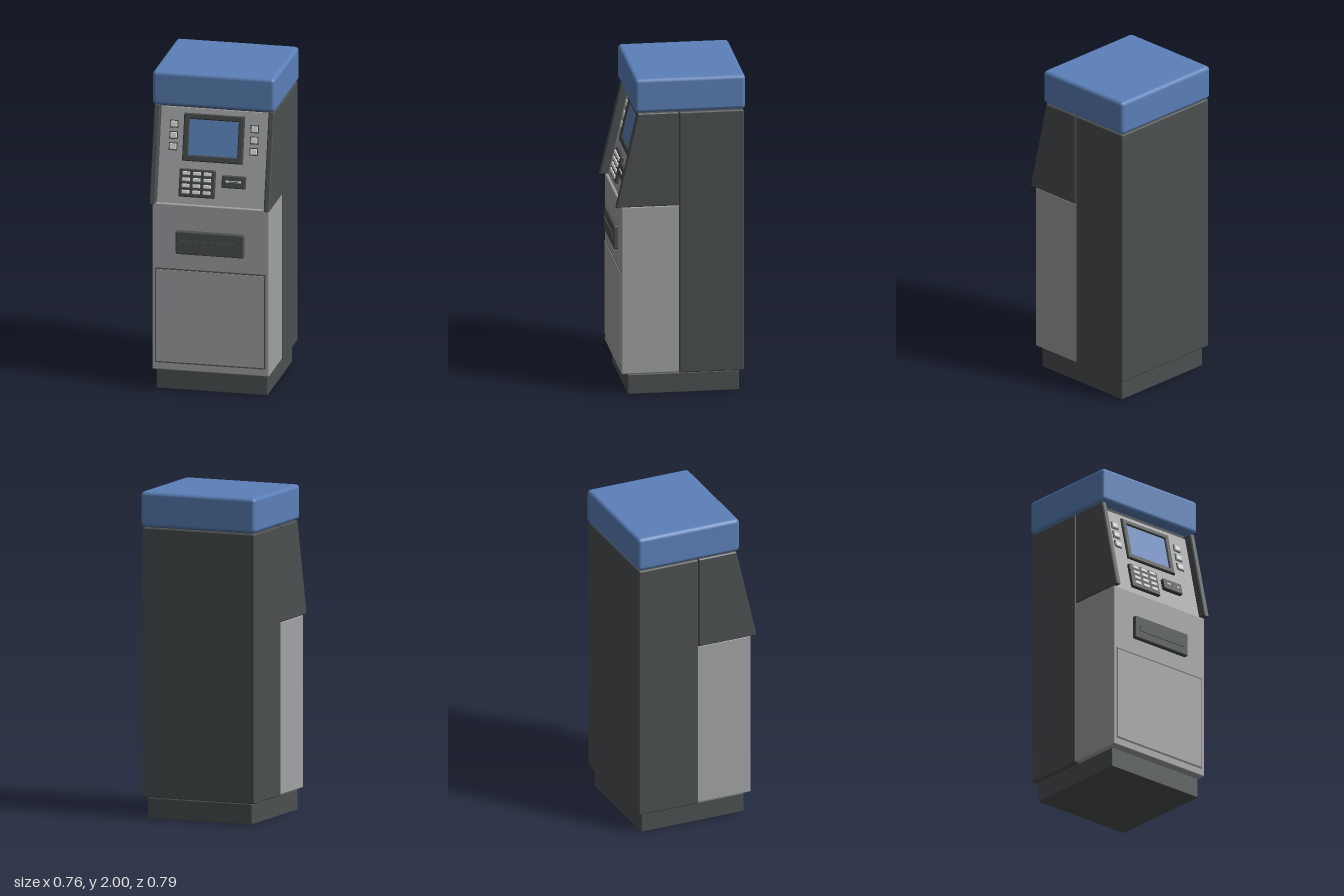
import * as THREE from 'three';
import { RoundedBoxGeometry } from 'three/addons/geometries/RoundedBoxGeometry.js';

const material = (name, color) => Object.assign(new THREE.MeshStandardMaterial({ color }), { name });

export function createModel() {
  const dark = material('charcoal', 0x4b5051);
  const trim = material('dark trim', 0x424646);
  const grey = material('grey panel', 0xa2a3a5);
  const blue = material('blue', 0x5b80b8);
  const light = material('light keys', 0xd6d6d2);
  const seam = material('seam', 0x58595b);

  const root = new THREE.Group();
  root.name = 'cashMachine';

  function add(parent, name, geometry, mat) {
    const mesh = new THREE.Mesh(geometry, mat);
    mesh.name = name;
    parent.add(mesh);
    return mesh;
  }

  // Box given by its limits on each axis, with optional rounded edges
  function block(parent, name, mat, [x0, x1], [y0, y1], [z0, z1], r = 0) {
    const size = [x1 - x0, y1 - y0, z1 - z0];
    const g = r ? new RoundedBoxGeometry(...size, 2, r) : new THREE.BoxGeometry(...size);
    g.translate((x0 + x1) / 2, (y0 + y1) / 2, (z0 + z1) / 2);
    return add(parent, name, g, mat);
  }

  // Side profile of [z, y] points, extruded across x
  function profile(name, mat, points, x0, x1, bevel = 0) {
    const shape = new THREE.Shape(points.map(p => new THREE.Vector2(...p)));
    const g = new THREE.ExtrudeGeometry(shape, {
      depth: x1 - x0 - 2 * bevel, bevelEnabled: bevel > 0,
      bevelSize: bevel, bevelOffset: -bevel, bevelThickness: bevel, bevelSegments: 1,
    });
    g.rotateY(-Math.PI / 2).translate(x1 - bevel, 0, 0);
    return add(root, name, g, mat);
  }

  // Cabinet
  block(root, 'base', dark, [-0.345, 0.345], [0, 0.126], [-0.36, 0.32], 0.006);
  block(root, 'rearCabinet', dark, [-0.372, 0.372], [0.13, 1.78], [-0.387, 0.008], 0.01);
  block(root, 'lowerCabinet', grey, [-0.363, 0.363], [0.132, 1.19], [0, 0.36], 0.008);
  block(root, 'topCap', blue, [-0.38, 0.38], [1.785, 2], [-0.396, 0.28], 0.024);
  block(root, 'capNeck', trim, [-0.34, 0.34], [1.76, 1.79], [-0.36, 0.2]);

  // Sloped fascia between two side cheeks
  const bottomY = 1.19, fasciaZ = 0.343, slope = 0.135 / 0.59;
  profile('fascia', grey, [
    [0, bottomY], [fasciaZ, bottomY], [fasciaZ - 0.57 * slope, 1.76], [0, 1.76],
  ], -0.338, 0.338);
  for (const [name, x0] of [['rightCheek', -0.372], ['leftCheek', 0.336]]) {
    profile(name, dark, [
      [0.012, bottomY], [0.395, bottomY], [0.26, 1.78], [0.012, 1.78],
    ], x0, x0 + 0.036, 0.006);
  }

  // Controls lie in the plane of the fascia
  const controls = new THREE.Group();
  controls.name = 'controls';
  controls.position.set(0, bottomY, fasciaZ);
  controls.rotation.x = -Math.atan(slope);
  root.add(controls);
  const along = y => (y - bottomY) * Math.hypot(1, slope);
  const control = (name, mat, x, y, z, r) =>
    block(controls, name, mat, x, y.map(along), z, r);

  // Screen with an open bezel
  const rect = (C, x0, x1, y0, y1) => new C([[x0, y0], [x1, y0], [x1, y1], [x0, y1]]
    .map(([x, y]) => new THREE.Vector2(x, along(y))));
  const bezel = rect(THREE.Shape, -0.186, 0.178, 1.452, 1.724);
  bezel.holes.push(rect(THREE.Path, -0.162, 0.154, 1.478, 1.702));
  add(controls, 'screenBezel', new THREE.ExtrudeGeometry(bezel, {
    depth: 0.01, bevelSize: 0.006, bevelThickness: 0.006, bevelSegments: 1,
  }), trim);
  control('screen', blue, [-0.166, 0.158], [1.474, 1.706], [0, 0.006]);

  // Screen side buttons
  for (const x of [-0.253, 0.247]) {
    for (const y of [1.66, 1.593, 1.526]) {
      control('buttonSurround', trim, [x - 0.026, x + 0.026], [y - 0.023, y + 0.023], [-0.005, 0.005]);
      control('screenButton', light, [x - 0.021, x + 0.021], [y - 0.018, y + 0.018], [-0.005, 0.012], 0.005);
    }
  }

  // Keypad
  control('keypadPlate', trim, [-0.203, 0.02], [1.233, 1.4], [-0.01, 0.02], 0.008);
  for (const x of [-0.159, -0.093, -0.027]) {
    for (const y of [1.375, 1.338, 1.301, 1.264]) {
      control('key', light, [x - 0.024, x + 0.024], [y - 0.011, y + 0.011], [0.012, 0.03], 0.005);
    }
  }

  // Card reader
  control('cardReader', trim, [0.061, 0.209], [1.302, 1.376], [-0.01, 0.024], 0.008);
  control('cardLip', light, [0.087, 0.184], [1.335, 1.347], [0.015, 0.029], 0.003);
  control('cardSlot', trim, [0.11, 0.162], [1.338, 1.344], [0.024, 0.031]);

  // Cash dispenser
  block(root, 'dispenser', dark, [-0.212, 0.21], [0.88, 1.027], [0.35, 0.386], 0.009);
  block(root, 'dispenserFlap', dark, [-0.176, 0.174], [0.93, 0.97], [0.38, 0.391]);

  // Service door with a thin seam around it
  block(root, 'doorSeam', seam, [-0.345, 0.342], [0.178, 0.78], [0.356, 0.362]);
  block(root, 'serviceDoor', grey, [-0.336, 0.333], [0.187, 0.771], [0.357, 0.365]);

  return root;
}
